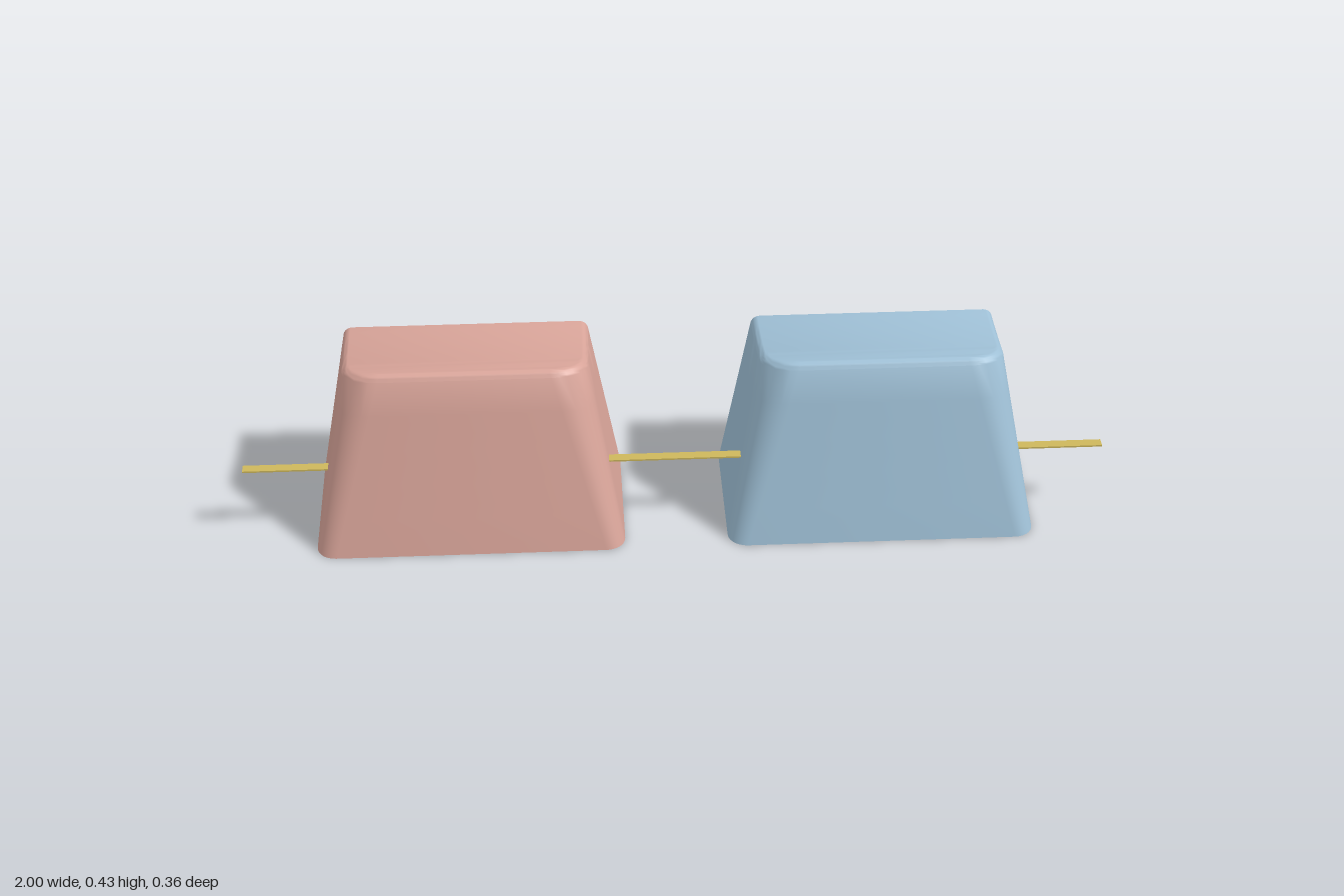
import * as THREE from 'three';
import { toCreasedNormals } from 'three/addons/utils/BufferGeometryUtils.js';

const BACK = -0.18;      // flat cut plane
const FILLET = 0.018;    // rounding of the top edge
const CEILING = 0.183;   // roof of the hollow
const SIDE = 8, ARC = 8; // points along a side and round a corner

// Dished top, curved from back to front
const topY = (z) => 0.404 + 0.5 * (z - BACK) ** 2;

// Point j of half an outline: along the +x side, then round the front corner
function outlinePoint(j, w, front, r) {
  if (j < SIDE) return [w, BACK + (front - r - BACK) * j / SIDE];
  const a = (j - SIDE) / (ARC - 1) * Math.PI / 2;
  return [w - r + r * Math.cos(a), front - r + r * Math.sin(a)];
}

// Full U-shaped outline, mirrored in x; heightAt may depend on z
function ring(heightAt, section) {
  const half = [];
  for (let j = 0; j < SIDE + ARC; j++) {
    let x = 0, z = 0, y = 0.2;
    for (let k = 0; k < 6; k++) {
      y = heightAt(z);
      [x, z] = outlinePoint(j, ...section(y));
    }
    half.push([x, y, z]);
  }
  return [...half, ...half.slice().reverse().map(([x, y, z]) => [-x, y, z])];
}

const outer = (inset) => (y) => [0.358 - 0.186 * y - inset, 0.18 - 0.221 * y - inset, 0.045 + 0.09 * y - inset];
const inner = (y) => [0.298 - 0.165 * y, 0.12 - 0.2 * y, 0.03];

const innerRings = [CEILING, 0].map((h) => ring(() => h, inner));
const outerRings = [];
for (let i = 0; i <= 5; i++) outerRings.push(ring((z) => (i / 5) * (topY(z) - FILLET), outer(0)));
for (let i = 1; i <= 6; i++) {
  const a = i / 6 * Math.PI / 2;
  outerRings.push(ring((z) => topY(z) - FILLET * (1 - Math.sin(a)), outer(FILLET * (1 - Math.cos(a)))));
}

// Hollow, bottom rim, outside walls and top as one skin
function shellGeometry() {
  const rows = [...innerRings, ...outerRings];
  const n = rows[0].length, index = [];
  for (let i = 0; i < rows.length - 1; i++) {
    for (let j = 0; j < n - 1; j++) {
      const a = i * n + j, d = a + n;
      index.push(a, d, d + 1, a, d + 1, a + 1);
    }
  }
  // Close a ring by joining mirrored points
  const cap = (start, up) => {
    for (let j = 0; j < n / 2 - 1; j++) {
      const a = start + n - 1 - j, b = start + j;
      if (up) index.push(a, a - 1, b, a - 1, b + 1, b);
      else index.push(a, b, a - 1, a - 1, b, b + 1);
    }
  };
  cap(0, false);
  cap((rows.length - 1) * n, true);
  const g = new THREE.BufferGeometry();
  g.setAttribute('position', new THREE.Float32BufferAttribute(rows.flat(2), 3));
  g.setIndex(index);
  return toCreasedNormals(g, 0.6);
}

const SLOT = { x: 0.19, y: 0.33, w: 0.12, h: 0.02, depth: 0.06 };

// Flat cut face with the hollow as a notch and two slot openings
function cutFaceGeometry() {
  const side = [...innerRings, ...outerRings].map((r) => new THREE.Vector2(r[0][0], r[0][1]));
  const mirrored = side.slice().reverse().map((p) => new THREE.Vector2(-p.x, p.y));
  const shape = new THREE.Shape([...side, ...mirrored]);
  for (const s of [-1, 1]) {
    const x0 = s * SLOT.x - SLOT.w / 2, x1 = x0 + SLOT.w;
    const y0 = SLOT.y - SLOT.h / 2, y1 = y0 + SLOT.h;
    shape.holes.push(new THREE.Path([[x0, y0], [x0, y1], [x1, y1], [x1, y0]].map((p) => new THREE.Vector2(...p))));
  }
  return new THREE.ShapeGeometry(shape).rotateY(Math.PI).translate(0, 0, BACK);
}

// Inside of a slot: a box turned inside out with its back removed
function pocketGeometry() {
  const g = new THREE.BoxGeometry(SLOT.w, SLOT.h, SLOT.depth).scale(1, 1, -1);
  const keep = Array.from(g.index.array).filter((_, i) => i < 24 || i >= 30);
  g.clearGroups();
  g.setIndex(keep);
  g.computeVertexNormals();
  return g;
}

// Half round post with half of a cross-shaped socket
function stemGeometry() {
  const shape = new THREE.Shape();
  shape.moveTo(0.08, BACK);
  shape.lineTo(0.122, BACK);
  shape.absarc(0, BACK, 0.122, 0, Math.PI, false);
  const socket = [[-0.08, 0], [-0.08, 0.027], [-0.032, 0.027], [-0.032, 0.085],
    [0.032, 0.085], [0.032, 0.027], [0.08, 0.027]];
  for (const [x, z] of socket) shape.lineTo(x, BACK + z);
  const g = new THREE.ExtrudeGeometry(shape, { depth: CEILING - 0.002, bevelEnabled: false, curveSegments: 20 });
  g.rotateX(Math.PI / 2).translate(0, CEILING, 0);
  g.clearGroups();
  return toCreasedNormals(g, 0.6);
}

function material(name, color) {
  const m = new THREE.MeshStandardMaterial({ color });
  m.name = name;
  return m;
}

export function createModel() {
  const model = new THREE.Group();
  model.name = 'halfKeycapPair';
  const add = (parent, name, geometry, mat) => {
    const mesh = new THREE.Mesh(geometry, mat);
    mesh.name = name;
    parent.add(mesh);
    return mesh;
  };

  const parts = { shell: shellGeometry(), cutFace: cutFaceGeometry(), stem: stemGeometry() };
  const pocket = pocketGeometry();
  const caps = [
    ['leftKeycap', 0.478, material('soft blue', 0x9fc0d6)],
    ['rightKeycap', -0.478, material('soft pink', 0xd8a499)],
  ];
  for (const [name, x, mat] of caps) {
    const cap = new THREE.Group();
    cap.name = name;
    cap.position.x = x;
    for (const part in parts) add(cap, part, parts[part], mat);
    for (const s of [-1, 1]) {
      add(cap, 'slotPocket', pocket, mat).position.set(s * SLOT.x, SLOT.y, BACK + SLOT.depth / 2);
    }
    model.add(cap);
  }

  // Thin strip running through both caps
  add(model, 'axisStrip', new THREE.BoxGeometry(2, 0.004, 0.024), material('brass yellow', 0xcdb75c))
    .position.set(0, 0.177, 0.061);
  return model;
}
